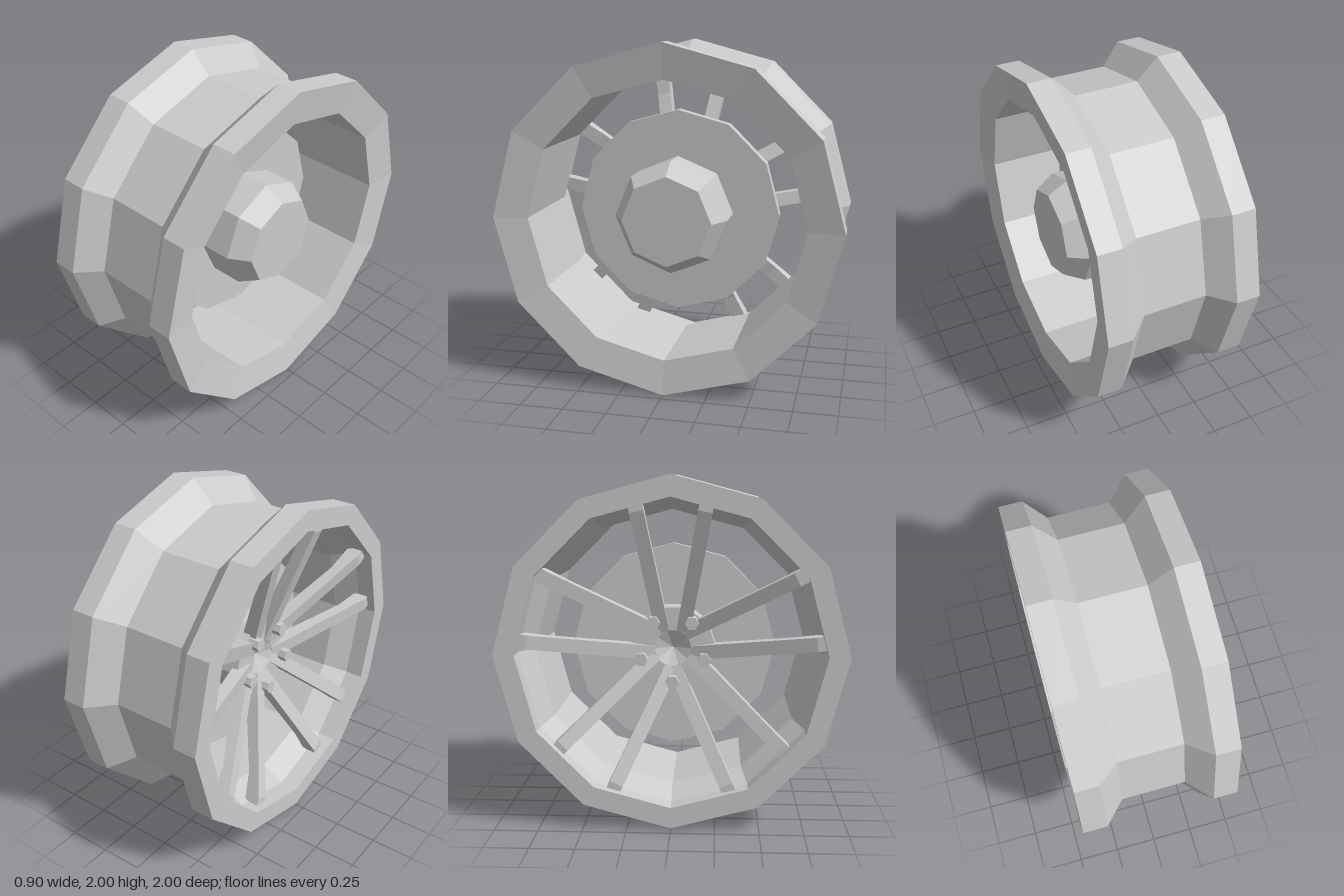
import * as THREE from 'three';

const material = new THREE.MeshStandardMaterial({ color: 0xcccccc, flatShading: true });

function addMesh(parent, name, geometry) {
  const mesh = new THREE.Mesh(geometry, material);
  mesh.name = name;
  parent.add(mesh);
  return mesh;
}

// Turns a profile of [x along axle, radius] points around the x axis
function turned(profile, sides) {
  const points = profile.map(([x, r]) => new THREE.Vector2(r, x));
  return new THREE.LatheGeometry(points, sides).rotateZ(-Math.PI / 2);
}

// One bent spoke, leaning away from the centre line of its pair
function spokeGeometry(side) {
  const width = 0.08;
  const shape = new THREE.Shape([
    [-0.17, 0.1], [-0.08, 0.1], [-0.29, 0.68], [-0.32, 0.89], [-0.4, 0.89], [-0.4, 0.81],
  ].map(([x, r]) => new THREE.Vector2(x, r)));
  return new THREE.ExtrudeGeometry(shape, { depth: width, bevelEnabled: false })
    .translate(0, 0, -width / 2 + side * 0.042)
    .rotateX(side * 0.182);
}

export function createModel() {
  const model = new THREE.Group();
  model.name = 'wheelRim';
  const wheel = new THREE.Group();
  wheel.name = 'wheel';
  wheel.position.y = 1;
  model.add(wheel);

  // Rim: outer well and flanges, then back along the inner barrel
  addMesh(wheel, 'rim', turned([
    [-0.45, 0.99], [-0.31, 0.99], [-0.19, 0.865], [0.18, 0.865], [0.31, 1], [0.45, 1],
    [0.42, 0.8], [-0.2, 0.8], [-0.34, 0.87], [-0.45, 0.87], [-0.45, 0.99],
  ], 12));

  // Brake disc and the bevelled hub on its inner side
  addMesh(wheel, 'brakeDisc', turned([
    [-0.02, 0], [-0.02, 0.6], [0.05, 0.6], [0.05, 0],
  ], 12));
  addMesh(wheel, 'axleHub', turned([
    [0.04, 0], [0.04, 0.33], [0.24, 0.33], [0.36, 0.26], [0.36, 0],
  ], 8));

  // Spoke hub with a shallow dished centre
  addMesh(wheel, 'spokeHub', turned([
    [-0.12, 0], [-0.17, 0.11], [-0.17, 0.25], [-0.01, 0.25], [-0.01, 0],
  ], 10));

  // Five spoke pairs with a wheel nut between each
  const nut = new THREE.CylinderGeometry(0.04, 0.04, 0.1, 6).rotateZ(-Math.PI / 2);
  const spokes = [-1, 1].map(spokeGeometry);
  for (let i = 0; i < 5; i++) {
    const section = new THREE.Group();
    section.name = 'spokePair';
    section.rotation.x = (i * Math.PI * 2) / 5;
    wheel.add(section);
    spokes.forEach((geometry) => addMesh(section, 'spoke', geometry));

    const angle = ((i + 0.5) * Math.PI * 2) / 5;
    addMesh(wheel, 'wheelNut', nut)
      .position.set(-0.19, Math.cos(angle) * 0.19, Math.sin(angle) * 0.19);
  }
  return model;
}
